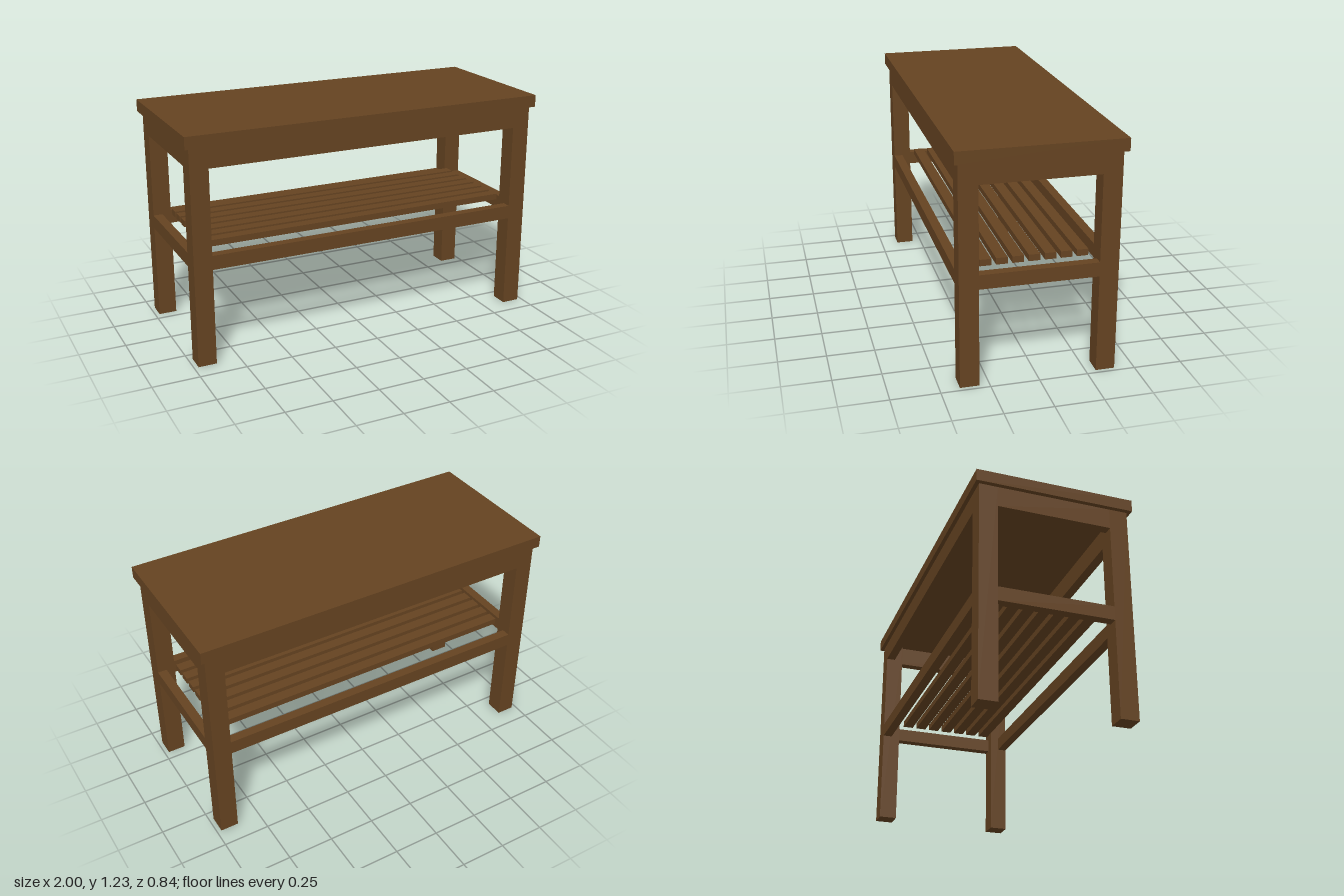
import * as THREE from 'three';

export function createModel() {
  const bench = new THREE.Group();
  bench.name = 'slattedBench';
  const wood = new THREE.MeshStandardMaterial({ color: 0x654321 });
  wood.name = 'brown wood';

  // Box given by its size, centre x and z, and bottom height
  function board(name, w, h, d, x, bottom, z) {
    const mesh = new THREE.Mesh(new THREE.BoxGeometry(w, h, d), wood);
    mesh.name = name;
    mesh.position.set(x, bottom + h / 2, z);
    bench.add(mesh);
  }

  const topY = 1.16, legSize = 0.098, thick = 0.05;
  const outerX = 0.976, outerZ = 0.4;
  const innerX = outerX - legSize, innerZ = outerZ - legSize;

  // Seat top
  board('top', 2, 0.065, 0.842, 0, topY, 0);

  // Legs
  for (const sx of [-1, 1]) {
    for (const sz of [-1, 1]) {
      board((sz > 0 ? 'front' : 'back') + (sx > 0 ? 'Left' : 'Right') + 'Leg',
        legSize, topY, legSize, sx * (outerX - legSize / 2), 0, sz * (outerZ - legSize / 2));
    }
  }

  // Aprons under the top and shelf rails, flush with the outside of the legs
  for (const [kind, bottom, height] of [['Apron', 1.048, topY - 1.048], ['ShelfRail', 0.52, 0.075]]) {
    for (const s of [-1, 1]) {
      board((s > 0 ? 'front' : 'back') + kind, innerX * 2, height, thick, 0, bottom, s * (outerZ - thick / 2));
      board((s > 0 ? 'left' : 'right') + kind, thick, height, innerZ * 2, s * (outerX - thick / 2), bottom, 0);
    }
  }

  // Shelf slats
  for (let i = -3; i <= 3; i++) {
    board('shelfSlat' + (i + 4), innerX * 2, 0.034, 0.058, 0, 0.595, i * 0.082);
  }
  return bench;
}
